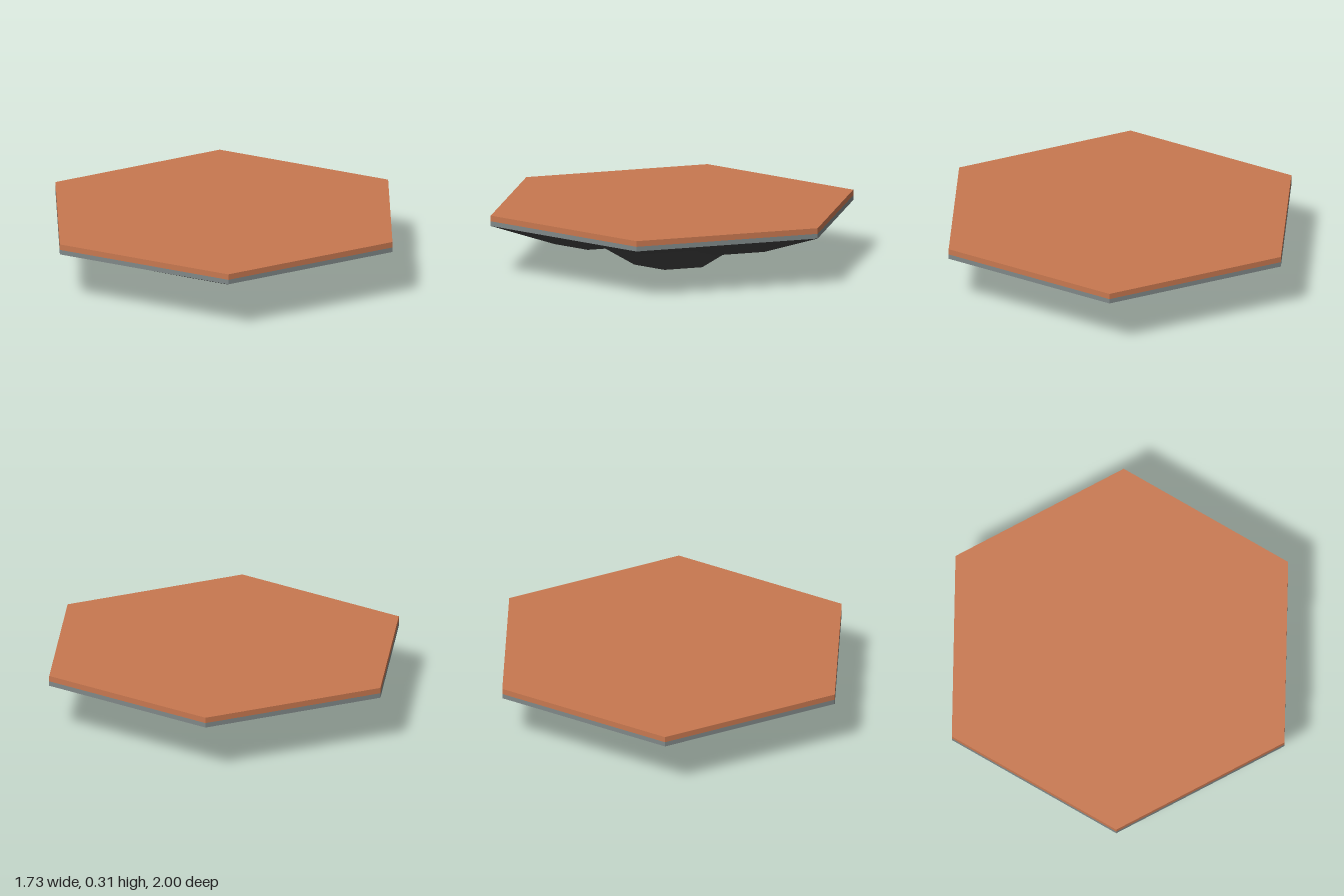
import * as THREE from 'three';

const RIM = 0.26; // height where the rocky underside meets the slab
const mat = (color) => new THREE.MeshStandardMaterial({ color, flatShading: true });

// Hexagonal slab with corners on the z axis
function slab(name, y0, y1, material) {
  const mesh = new THREE.Mesh(new THREE.CylinderGeometry(1, 1, y1 - y0, 6), material);
  mesh.name = name;
  mesh.position.y = (y0 + y1) / 2;
  return mesh;
}

// Hanging rock: a hexagonal frustum whose lower face may be shifted sideways
function rock(name, [x, z, top], [bx, bz, bottom], floor, material) {
  const h = RIM - floor;
  const geo = new THREE.CylinderGeometry(top, bottom, h, 6, 1);
  const p = geo.attributes.position;
  for (let i = 0; i < p.count; i++) {
    if (p.getY(i) < 0) {
      p.setX(i, p.getX(i) + bx - x);
      p.setZ(i, p.getZ(i) + bz - z);
    }
  }
  geo.computeVertexNormals();
  const mesh = new THREE.Mesh(geo, material);
  mesh.name = name;
  mesh.position.set(x, floor + h / 2, z);
  return mesh;
}

export function createModel() {
  const model = new THREE.Group();
  model.name = 'hexTile';

  // Coloured ground on a thin stone layer
  model.add(slab('groundLayer', 0.285, 0.315, mat(0xc87850)));
  model.add(slab('stoneLayer', RIM, 0.285, mat(0x808888)));

  // Underside: one deep central rock and one under each corner
  const dark = mat(0x444444);
  const underside = new THREE.Group();
  underside.name = 'rockyUnderside';
  underside.add(rock('centreRock', [0, 0, 0.64], [0, 0, 0.208], 0, dark));

  // name, lower face [x, z, radius], floor height; ordered around the tile from the front
  const corners = [
    ['frontRock', [0, 0.42, 0.23], 0.14],
    ['frontLeftRock', [0.433, 0.25, 0.325], 0.21],
    ['backLeftRock', [0.2, -0.222, 0.275], 0.115],
    ['backRock', [0, -0.5, 0.32], 0.21],
    ['backRightRock', [-0.405, -0.235, 0.25], 0.18],
    ['frontRightRock', [-0.433, 0.25, 0.374], 0.235],
  ];
  corners.forEach(([name, lower, floor], i) => {
    const a = (i * Math.PI) / 3;
    underside.add(rock(name, [Math.sin(a) / 2, Math.cos(a) / 2, 0.5], lower, floor, dark));
  });
  model.add(underside);
  return model;
}
